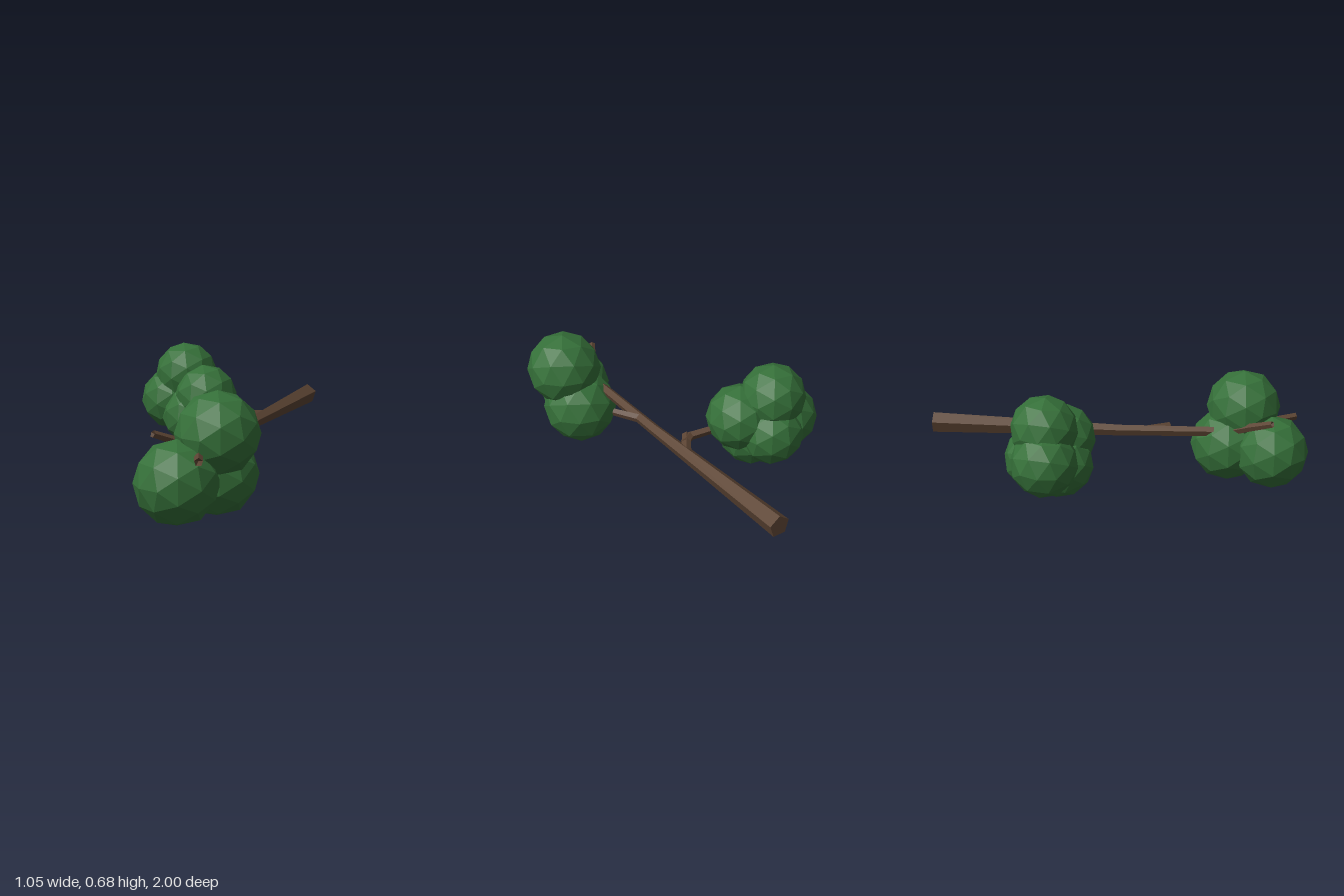
import * as THREE from 'three';

const SIDES = 5;

// Five-sided branch through points [x, y, z, radius]; notch pushes the end cap inward
function branchGeometry(points, notch) {
  const centres = points.map(p => new THREE.Vector3(p[0], p[1], p[2]));
  const rings = centres.map((c, i) => {
    const dir = centres[Math.min(i + 1, centres.length - 1)].clone()
      .sub(centres[Math.max(i - 1, 0)]).normalize();
    const side = new THREE.Vector3(0, 1, 0).cross(dir).normalize();
    const up = dir.clone().cross(side);
    return Array.from({ length: SIDES }, (_, k) => {
      const a = k / SIDES * Math.PI * 2;
      return c.clone().addScaledVector(up, Math.cos(a) * points[i][3])
        .addScaledVector(side, -Math.sin(a) * points[i][3]);
    });
  });
  const last = rings.length - 1;
  const tip = centres[last].clone().lerp(centres[last - 1], notch);
  const out = [];
  const tri = (...v) => v.forEach(p => out.push(p.x, p.y, p.z));
  for (let k = 0; k < SIDES; k++) {
    const n = (k + 1) % SIDES;
    for (let i = 0; i < last; i++) {
      const a = rings[i], b = rings[i + 1];
      tri(a[k], b[n], a[n]);
      tri(a[k], b[k], b[n]);
    }
    tri(centres[0], rings[0][k], rings[0][n]);
    tri(tip, rings[last][n], rings[last][k]);
  }
  const g = new THREE.BufferGeometry();
  g.setAttribute('position', new THREE.Float32BufferAttribute(out, 3));
  g.computeVertexNormals();
  return g;
}

export function createModel() {
  const model = new THREE.Group();
  model.name = 'leafyBranch';
  const bark = new THREE.MeshStandardMaterial({ color: 0x5c4433, flatShading: true, side: THREE.DoubleSide });
  bark.name = 'bark brown';
  const leaf = new THREE.MeshStandardMaterial({ color: 0x357039, flatShading: true });
  leaf.name = 'leaf green';

  const addBranch = (name, points, notch = 0) => {
    const m = new THREE.Mesh(branchGeometry(points, notch), bark);
    m.name = name;
    model.add(m);
  };

  // Main bough, thick at the back and thin at the front
  addBranch('mainBough', [
    [0.208, 0.33, -1, 0.055], [0.2, 0.306, 0, 0.03], [0.197, 0.309, 0.5, 0.026], [0.2, 0.31, 0.62, 0.025],
  ]);
  // Fork at the front of the bough
  addBranch('leftForkTwig', [[0.2, 0.31, 0.55, 0.026], [0.27, 0.325, 0.72, 0.023], [0.37, 0.333, 0.94, 0.02]], 0.15);
  addBranch('rightForkTwig', [[0.2, 0.31, 0.58, 0.024], [0.15, 0.355, 0.68, 0.022], [0.08, 0.405, 0.79, 0.018]], 0.15);
  // Short broken stub
  addBranch('stubTwig', [[0.195, 0.308, 0.11, 0.024], [0.275, 0.305, 0.26, 0.02]], 0.2);
  // Elbowed side branch that carries the back foliage
  addBranch('sideBranchStub', [[0.2, 0.32, -0.28, 0.026], [0.125, 0.338, -0.175, 0.022]], 0.15);
  addBranch('sideBranch', [[0.165, 0.33, -0.22, 0.024], [0.11, 0.336, -0.19, 0.024], [0.01, 0.345, -0.215, 0.022], [-0.2, 0.36, -0.3, 0.018]]);

  // Foliage balls, with a five-way vertex facing the front
  const ball = new THREE.IcosahedronGeometry(1, 1);
  ball.rotateX(Math.atan(2 / (1 + Math.sqrt(5))));
  ball.rotateZ(-Math.PI / 2);
  const addFoliage = (name, radius, turn, centres) => {
    const cluster = new THREE.Group();
    cluster.name = name;
    for (const c of centres) {
      const m = new THREE.Mesh(ball, leaf);
      m.name = 'foliageBall';
      m.position.set(...c);
      m.rotation.set(...turn);
      m.scale.setScalar(radius);
      cluster.add(m);
    }
    model.add(cluster);
  };
  addFoliage('frontFoliage', 0.197, [0, 0, 0], [
    [0.203, 0.198, 0.803], [0.337, 0.403, 0.655], [0.298, 0.198, 0.572],
  ]);
  addFoliage('backFoliage', 0.168, [0.2, -1.1, 0.15], [
    [-0.275, 0.51, -0.35], [-0.36, 0.365, -0.345], [-0.128, 0.405, -0.275],
    [-0.205, 0.293, -0.282], [-0.24, 0.338, -0.39],
  ]);
  return model;
}
